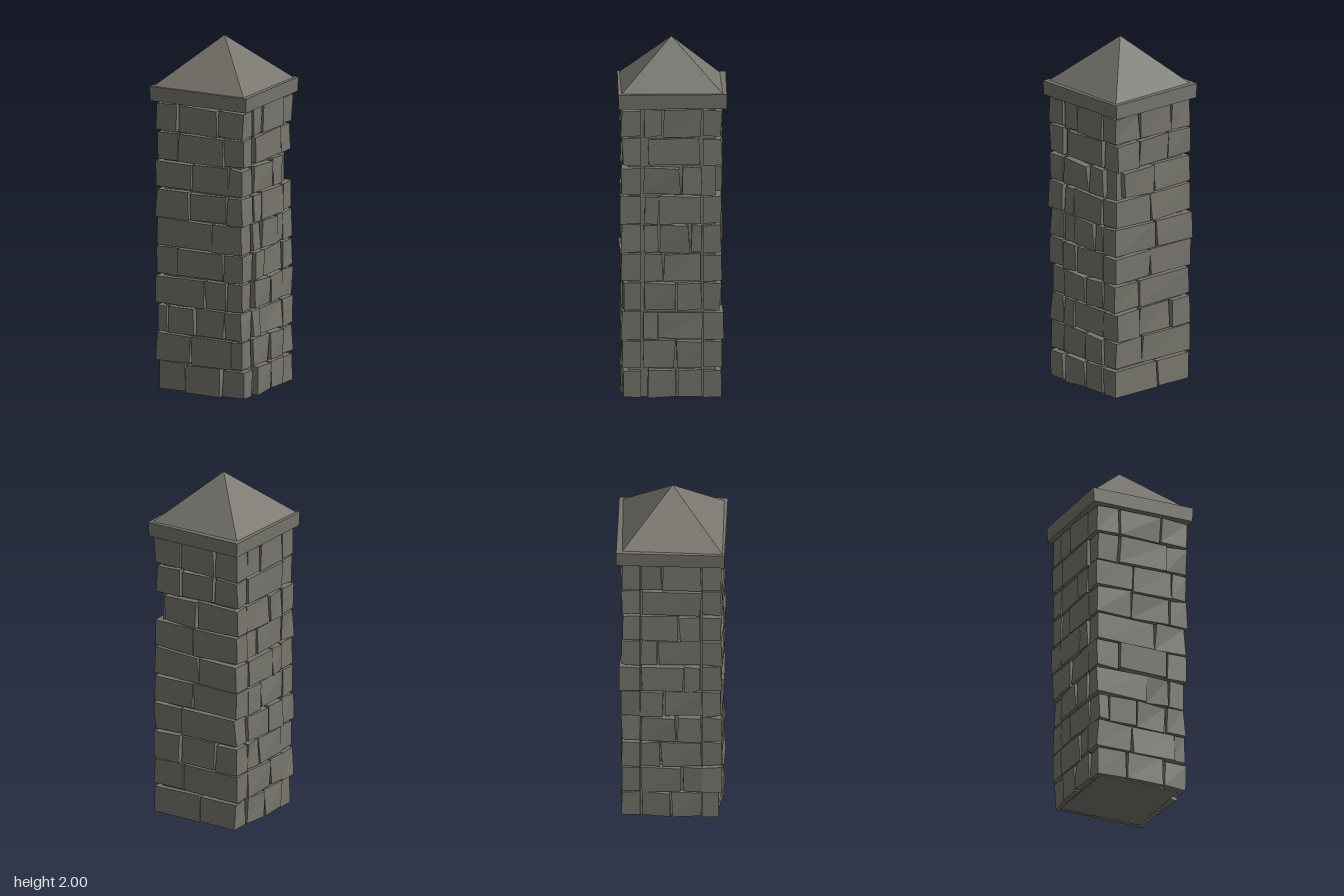
import * as THREE from 'three';

// Joint positions along each wall, one list per course from the ground up.
const FRONT = [
  [-0.27, -0.09, 0.14, 0.28], [-0.28, -0.06, 0.2, 0.27], [-0.27, -0.2, -0.03, 0.15, 0.27],
  [-0.28, 0.03, 0.17, 0.27], [-0.28, -0.14, 0.15, 0.28], [-0.28, 0.08, 0.27],
  [-0.28, -0.07, 0.17, 0.28], [-0.28, -0.05, 0.18, 0.28], [-0.27, -0.14, 0.15, 0.28],
  [-0.28, -0.14, 0.12, 0.28],
];
const RIGHT = [
  [-0.14, 0.03, 0.17], [-0.16, 0.02, 0.17], [-0.16, -0.08, 0.17], [-0.16, 0.03, 0.17],
  [-0.16, -0.05, 0.17], [-0.16, -0.07, 0.1, 0.17], [-0.16, -0.07, 0.17], [-0.16, 0.05, 0.17],
  [-0.13, 0.16], [-0.16, -0.05, 0.17],
];
const BACK = [
  [-0.28, 0.03, 0.27], [-0.28, -0.08, 0.28], [-0.28, -0.1, 0.13, 0.28], [-0.28, -0.1, 0.27],
  [-0.28, -0.02, 0.28], [-0.28, 0.02, 0.28], [-0.28, -0.02, 0.28], [-0.21, 0.01, 0.28],
  [-0.27, -0.1, 0.12, 0.28], [-0.28, -0.1, 0.13, 0.28],
];
const LEFT = [
  [-0.17, 0, 0.17], [-0.17, 0.06, 0.17], [-0.17, -0.06, 0.17], [-0.17, 0.03, 0.17],
  [-0.17, -0.04, 0.17], [-0.17, 0.07, 0.17], [-0.17, -0.07, 0.17], [-0.17, 0.04, 0.17],
  [-0.17, 0.17], [-0.17, -0.05, 0.17],
];

let seed = 17;
function jitter(amount) {
  seed = (seed * 16807) % 2147483647;
  return (seed / 2147483647 - 0.5) * 2 * amount;
}

// A six-sided block whose eight corners are placed by a rule from their signs.
function block(name, material, place) {
  const geometry = new THREE.BoxGeometry(2, 2, 2);
  const position = geometry.attributes.position;
  const corners = {};
  for (let i = 0; i < position.count; i++) {
    const s = [position.getX(i), position.getY(i), position.getZ(i)];
    const p = (corners[s.join()] ??= place(...s));
    position.setXYZ(i, ...p);
  }
  geometry.computeVertexNormals();
  const mesh = new THREE.Mesh(geometry, material);
  mesh.name = name;
  return mesh;
}

export function createModel() {
  const stone = new THREE.MeshStandardMaterial({ color: 0x77756d, flatShading: true });
  stone.name = 'grey stone';
  const model = new THREE.Group();
  model.name = 'stonePillar';

  // Mortar core behind the stones
  model.add(block('core', stone, (x, y, z) => [x * 0.243, y > 0 ? 1.66 : 0.004, z * 0.243]));

  // Four walls of uneven stones; front and back courses wrap the corners
  const walls = [['frontWall', FRONT], ['rightWall', RIGHT], ['backWall', BACK], ['leftWall', LEFT]];
  walls.forEach(([name, courses], side) => {
    const wall = new THREE.Group();
    wall.name = name;
    wall.rotation.y = side * Math.PI / 2;
    courses.forEach((joints, row) => {
      const bottom = row * 0.164 + 0.011;
      for (let i = 0; i < joints.length - 1; i++) {
        const out = 0.277 + jitter(0.007);
        wall.add(block('stone', stone, (x, y, z) => [
          (x < 0 ? joints[i] + 0.005 : joints[i + 1] - 0.005) + jitter(0.007),
          Math.max(0, (y < 0 ? bottom : bottom + 0.152) + jitter(0.006)),
          z < 0 ? 0.172 : out + jitter(0.008),
        ]));
      }
    });
    model.add(wall);
  });

  // Slightly crooked cap slab
  model.add(block('capSlab', stone, (x, y, z) => [
    x * ((z > 0 ? 0.309 : 0.299) - (y < 0 ? 0.005 : 0)),
    y > 0 ? 1.732 : 1.65,
    z > 0 ? 0.297 : -0.305,
  ]));

  // Pyramid roof with an uneven base
  const base = [[-0.293, 0.287], [0.282, 0.28], [0.283, -0.285], [-0.275, -0.273]];
  const points = [];
  base.forEach(([x, z], i) => {
    const [nx, nz] = base[(i + 1) % 4];
    points.push(x, 1.73, z, nx, 1.73, nz, 0, 2, 0);
  });
  const roofGeometry = new THREE.BufferGeometry();
  roofGeometry.setAttribute('position', new THREE.Float32BufferAttribute(points, 3));
  roofGeometry.computeVertexNormals();
  const roof = new THREE.Mesh(roofGeometry, stone);
  roof.name = 'pyramidRoof';
  model.add(roof);

  return model;
}
